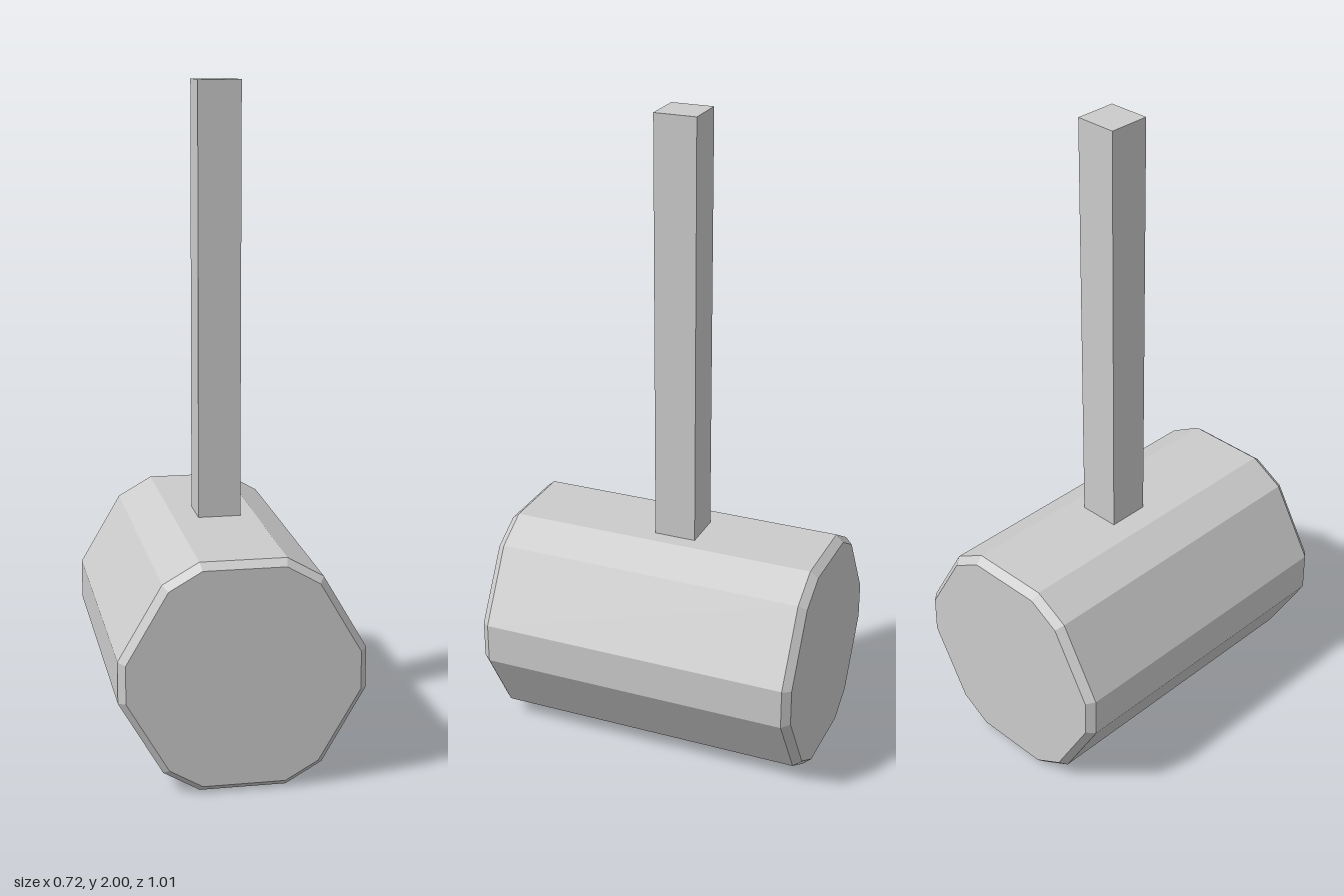
import * as THREE from 'three';

export function createModel() {
  const group = new THREE.Group();
  const material = new THREE.MeshStandardMaterial({ color: 0xcccccc, flatShading: true });

  // Head: hexagonal prism with cut corners, bevelled at both ends
  const quarter = [[0.36, 0.062], [0.232, 0.281], [0.126, 0.342]];
  const mirrored = quarter.map(([x, y]) => [-x, y]).reverse();
  const upper = [...quarter, ...mirrored];
  const outline = [...upper, ...upper.map(([x, y]) => [-x, -y])];
  const shape = new THREE.Shape(outline.map(([x, y]) => new THREE.Vector2(x, y)));
  const bevel = 0.024;
  const length = 1.014;
  const headGeometry = new THREE.ExtrudeGeometry(shape, {
    depth: length - 2 * bevel,
    bevelEnabled: true,
    bevelSegments: 1,
    bevelThickness: bevel,
    bevelSize: 0.02,
    bevelOffset: -0.02,
  });
  headGeometry.translate(0, 0, bevel - length / 2);
  const head = new THREE.Mesh(headGeometry, material);
  head.name = 'head';
  head.position.y = 0.346;
  group.add(head);

  // Handle: square post sunk into the head, slightly off centre
  const bottom = 0.6;
  const handle = new THREE.Mesh(new THREE.BoxGeometry(0.13, 2 - bottom, 0.13), material);
  handle.name = 'handle';
  handle.position.set(0.013, (2 + bottom) / 2, -0.03);
  group.add(handle);

  return group;
}
